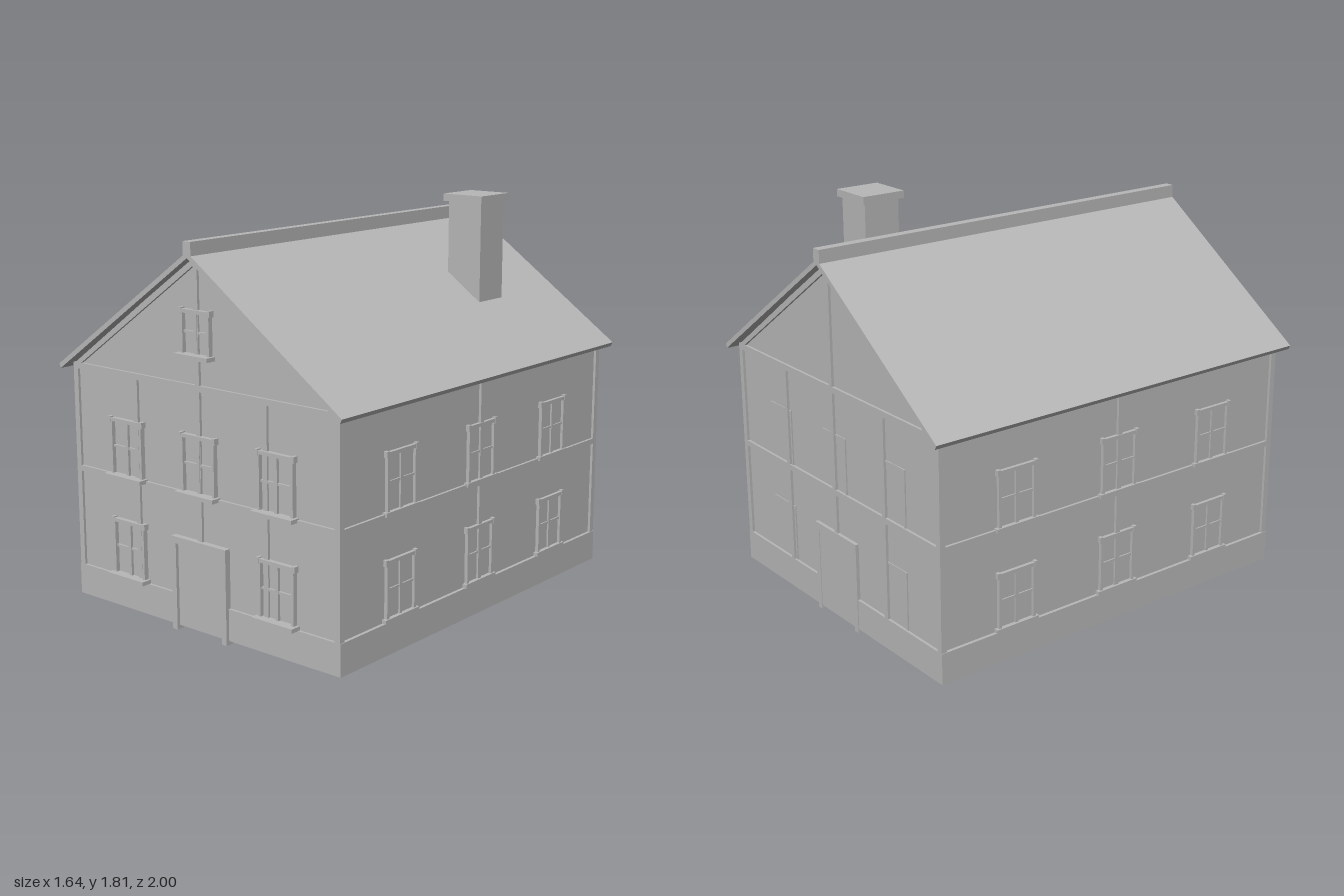
import * as THREE from 'three';

const stone = new THREE.MeshStandardMaterial({ color: 0xb8b8b8 });
stone.name = 'plain grey';

// Box given by its limits on each axis
function box(parent, name, x0, x1, y0, y1, z0, z1) {
  const mesh = new THREE.Mesh(new THREE.BoxGeometry(x1 - x0, y1 - y0, z1 - z0), stone);
  mesh.position.set((x0 + x1) / 2, (y0 + y1) / 2, (z0 + z1) / 2);
  mesh.name = name;
  parent.add(mesh);
  return mesh;
}

// Outline in x,y pulled along z, centred on z = 0
function prism(parent, name, points, depth, z = 0) {
  const shape = new THREE.Shape(points.map(([x, y]) => new THREE.Vector2(x, y)));
  const geometry = new THREE.ExtrudeGeometry(shape, { depth, bevelEnabled: false });
  geometry.translate(0, 0, z - depth / 2);
  const mesh = new THREE.Mesh(geometry, stone);
  mesh.name = name;
  parent.add(mesh);
  return mesh;
}

// Window with its sill at y; the wall plane is local z = 0
function addWindow(wall, x, y, { h = 0.265, w = 0.098, frame = 0.016, sill = 0.022 } = {}) {
  const g = new THREE.Group();
  g.name = 'window';
  g.position.set(x, y, 0);
  wall.add(g);
  const top = h, t = 0.014;
  box(g, 'windowPane', -w + t, w - t, 0.01, top - 0.01, -0.01, 0.003);
  for (const s of [-1, 1]) {
    const a = s * w, b = s * (w - t);
    box(g, 'windowJamb', Math.min(a, b), Math.max(a, b), 0, top, -0.01, frame);
    box(g, 'windowEar', s * w - 0.008, s * w + 0.008, top - 0.022, top + 0.005, -0.01, frame + 0.002);
  }
  box(g, 'windowLintel', -w, w, top - 0.016, top, -0.01, frame);
  box(g, 'windowMullion', -0.008, 0.008, 0.01, top - 0.01, -0.01, frame * 0.7);
  box(g, 'windowCrossbar', -w + t, w - t, h * 0.5, h * 0.5 + 0.01, -0.01, frame * 0.6);
  box(g, 'windowSill', -w - 0.014, w + 0.014, -0.003, 0.015, -0.01, sill);
}

// Shallow frame, nearly flush with the rear wall
function addFlushWindow(wall, x, y) {
  box(wall, 'rearWindowHead', x - 0.09, x + 0.09, y + 0.255, y + 0.265, -0.01, 0.004);
  box(wall, 'rearWindowJamb', x + 0.08, x + 0.09, y, y + 0.265, -0.01, 0.006);
}

function addDoorFrame(wall, out) {
  for (const s of [-1, 1]) {
    box(wall, 'doorPost', s * 0.147 - 0.014, s * 0.147 + 0.014, 0, 0.42, -0.01, out);
  }
  box(wall, 'doorLintel', -0.161, 0.161, 0.393, 0.423, -0.01, out);
  box(wall, 'doorLeaf', -0.135, 0.135, 0.02, 0.395, -0.01, 0.013);
}

// Timber frame: corner posts, posts at the given places and two rails
function addTimbers(wall, half, posts, proud) {
  for (const s of [-1, 1]) {
    box(wall, 'cornerPost', s * (half - 0.014) - 0.014, s * (half - 0.014) + 0.014, 0.15, 1.09, -0.01, proud);
  }
  for (const x of posts) box(wall, 'timberPost', x - 0.012, x + 0.012, 0.16, 1.08, -0.01, proud);
  box(wall, 'floorRail', -half, half, 0.602, 0.628, -0.01, proud);
  box(wall, 'eavesRail', -half, half, 1.073, 1.1, -0.01, proud);
}

function addGableTimbers(wall) {
  box(wall, 'gablePost', -0.012, 0.012, 1.09, 1.62, -0.01, 0.012);
  for (const s of [-1, 1]) {
    prism(wall, 'gableRafter', [[0, 1.605], [s * 0.735, 1.09], [s * 0.772, 1.09], [0, 1.64]], 0.022, 0.001);
  }
}

function facade(house, name, x, z, angle) {
  const g = new THREE.Group();
  g.name = name;
  g.position.set(x, 0, z);
  g.rotation.y = angle;
  house.add(g);
  return g;
}

export function createModel() {
  const house = new THREE.Group();
  house.name = 'house';

  // Body and plinth
  prism(house, 'walls', [[-0.76, 0.03], [0.76, 0.03], [0.76, 1.1], [0, 1.64], [-0.76, 1.1]], 1.89);
  box(house, 'plinth', -0.775, 0.775, 0.018, 0.16, -0.957, 0.957);

  // Front
  const front = facade(house, 'frontWall', 0, 0.945, 0);
  addTimbers(front, 0.772, [-0.377, 0, 0.377], 0.012);
  addGableTimbers(front);
  const deep = { frame: 0.022, sill: 0.05 };
  for (const s of [-1, 1]) {
    addWindow(front, s * 0.437, 0.162, deep);
    addWindow(front, s * 0.437, 0.62, deep);
  }
  addWindow(front, 0, 0.62, deep);
  addWindow(front, 0, 1.217, { ...deep, h: 0.2, w: 0.083 });
  addDoorFrame(front, 0.028);

  // Rear
  const rear = facade(house, 'rearWall', 0, -0.945, Math.PI);
  addTimbers(rear, 0.772, [-0.377, 0, 0.377], 0.012);
  addGableTimbers(rear);
  for (const x of [-0.437, 0.437]) for (const y of [0.162, 0.62]) addFlushWindow(rear, x, y);
  addFlushWindow(rear, 0, 0.62);
  addDoorFrame(rear, 0.016);

  // Long sides
  for (const s of [-1, 1]) {
    const side = facade(house, s > 0 ? 'leftWall' : 'rightWall', s * 0.76, 0, s * Math.PI / 2);
    addTimbers(side, 0.957, [0], 0.012);
    for (const x of [-0.563, 0, 0.563]) for (const y of [0.162, 0.62]) addWindow(side, x, y);
  }

  // Roof slopes, ridge and chimney
  for (const s of [-1, 1]) {
    prism(house, 'roofSlope', [[0, 1.66], [s * 0.818, 1.092], [s * 0.808, 1.073], [0, 1.635]], 2);
  }
  box(house, 'ridgeCap', -0.022, 0.022, 1.64, 1.703, -1, 1);
  box(house, 'chimneyStack', 0.3, 0.478, 1.25, 1.78, -0.558, -0.38);
  box(house, 'chimneyCap', 0.281, 0.493, 1.777, 1.81, -0.576, -0.362);

  return house;
}
